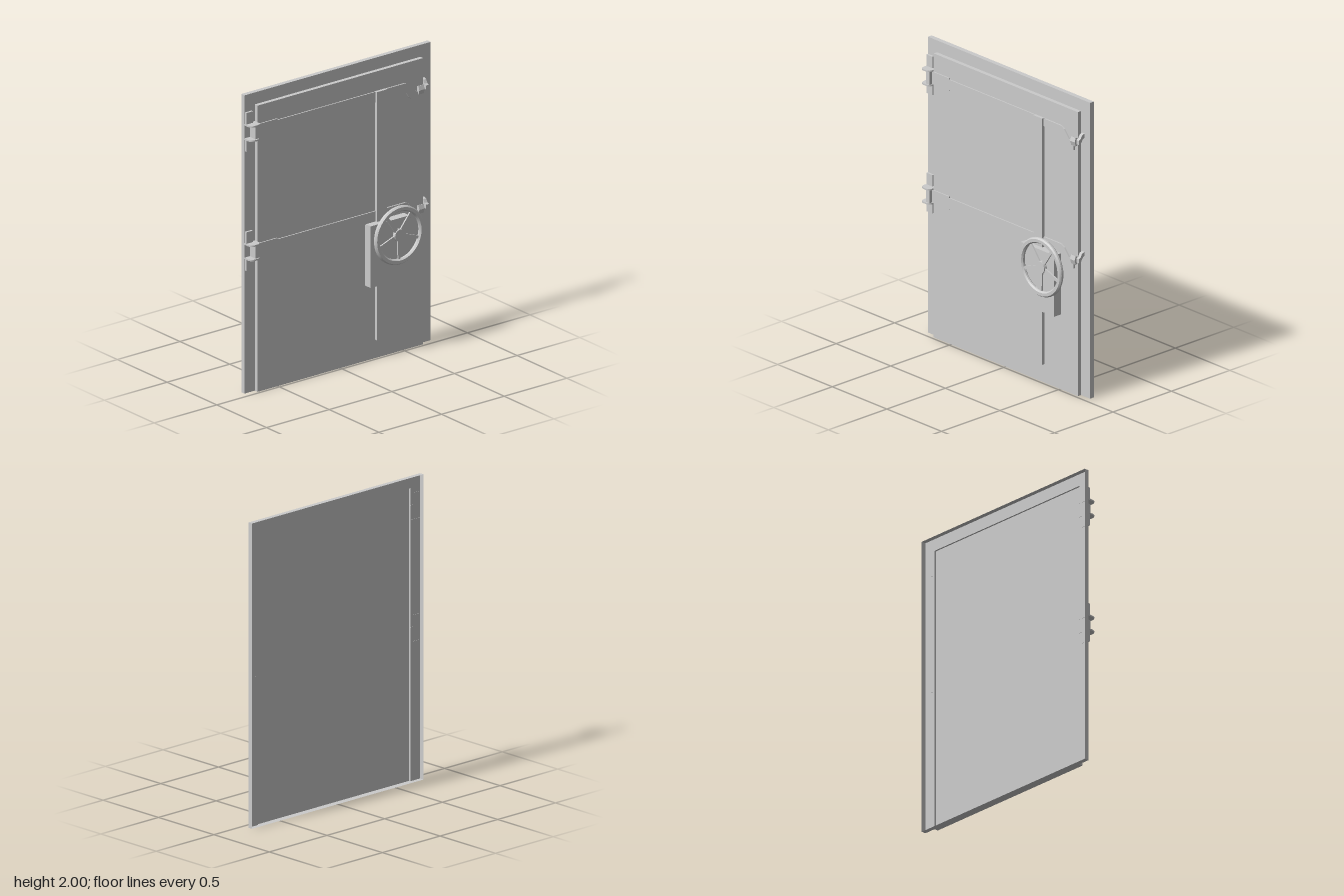
import * as THREE from 'three';
import { toCreasedNormals } from 'three/addons/utils/BufferGeometryUtils.js';

const material = new THREE.MeshStandardMaterial({ color: 0xcccccc, side: THREE.DoubleSide });
const BACK = -0.077, FRAME = -0.045, RECESS = -0.033, DOOR = -0.017; // main depths

function add(parent, name, geometry, x = 0, y = 0, z = 0) {
  const mesh = new THREE.Mesh(geometry, material);
  mesh.name = name;
  mesh.position.set(x, y, z);
  parent.add(mesh);
  return mesh;
}

// Box given by its limits
function block(parent, name, x0, x1, y0, y1, z0, z1) {
  return add(parent, name, new THREE.BoxGeometry(x1 - x0, y1 - y0, z1 - z0),
    (x0 + x1) / 2, (y0 + y1) / 2, (z0 + z1) / 2);
}

// Four side walls without front or back
function walls(parent, name, x, y1, z0, z1) {
  const { geometry } = block(parent, name, -x, x, 0, y1, z0, z1);
  geometry.setIndex(Array.from(geometry.index.array).slice(0, 24));
}

function outline(points) {
  return new THREE.Shape(points.map(([x, y]) => new THREE.Vector2(x, y)));
}

function slab(shape, depth) {
  return new THREE.ExtrudeGeometry(shape, { depth, bevelEnabled: false, curveSegments: 8 });
}

function createHinge() {
  const hinge = new THREE.Group();
  hinge.name = 'hinge';
  for (const y of [-0.13, 0.043]) {
    block(hinge, 'hingeMount', -0.741, -0.687, y, y + 0.087, -0.047, -0.03);
  }
  block(hinge, 'hingeKnuckle', -0.7, -0.667, -0.045, 0.045, -0.044, 0.012);
  // Plates with rounded front corners, drawn in x and -z
  const plate = new THREE.Shape();
  plate.moveTo(-0.743, 0.047);
  plate.lineTo(-0.743, 0.015);
  plate.quadraticCurveTo(-0.743, -0.022, -0.708, -0.022);
  plate.lineTo(-0.695, -0.022);
  plate.quadraticCurveTo(-0.66, -0.022, -0.66, 0.015);
  plate.lineTo(-0.66, 0.047);
  for (const y of [-0.053, 0.043]) {
    add(hinge, 'hingePlate', slab(plate, 0.01).rotateX(-Math.PI / 2), 0, y, 0);
  }
  return hinge;
}

// Hinge, strap, cranked arm and latch, centred on the arm's height
function createLockingArm() {
  const arm = new THREE.Group();
  arm.name = 'lockingArm';
  arm.add(createHinge());
  block(arm, 'hingeStrap', -0.667, -0.51, -0.043, 0.043, DOOR, -0.009);
  block(arm, 'crossBar', -0.51, 0.3, -0.038, 0.034, DOOR, -0.009);

  const crank = outline([[0.3, 0.026], [0.37, 0.034], [0.515, 0.034], [0.545, 0.018], [0.59, -0.035],
    [0.61, -0.045], [0.633, -0.045], [0.633, -0.097], [0.6, -0.094], [0.555, -0.08],
    [0.54, -0.065], [0.52, -0.033], [0.495, -0.021], [0.3, -0.015]]);
  add(arm, 'crankedEnd', slab(crank, 0.01), 0, 0, DOOR);

  // Latch parts are profiles in -z and y, run along x
  const dog = outline([[0.017, -0.012], [0.004, -0.007], [-0.005, -0.036], [0.004, -0.066], [0.017, -0.061]]);
  add(arm, 'latchDog', slab(dog, 0.042).rotateY(Math.PI / 2), 0.613, 0, 0);
  const keeper = outline([[0.047, 0.022], [0.025, 0.015], [0.012, -0.008], [-0.003, -0.015],
    [-0.003, -0.043], [0.015, -0.038], [0.032, -0.012], [0.047, -0.005]]);
  add(arm, 'latchKeeper', slab(keeper, 0.023).rotateY(Math.PI / 2), 0.668, 0, 0);
  return arm;
}

function createHandWheel() {
  const wheel = new THREE.Group();
  wheel.name = 'handWheel';
  // Rim with chamfered edges
  const profile = [[0.195, -0.006], [0.195, 0.006], [0.187, 0.016], [0.167, 0.016], [0.159, 0.006],
    [0.159, -0.006], [0.167, -0.016], [0.187, -0.016], [0.195, -0.006]];
  const rim = new THREE.LatheGeometry(profile.map(([r, z]) => new THREE.Vector2(r, z)), 40);
  add(wheel, 'wheelRim', toCreasedNormals(rim.rotateX(Math.PI / 2), 0.5));
  add(wheel, 'wheelHub', new THREE.CylinderGeometry(0.04, 0.04, 0.024, 24).rotateX(Math.PI / 2));
  add(wheel, 'wheelShaft', new THREE.CylinderGeometry(0.02, 0.02, 0.02, 16).rotateX(Math.PI / 2), 0, 0, -0.014);
  const spoke = outline([[0.035, -0.014], [0.162, -0.009], [0.162, 0.009], [0.035, 0.014]]);
  for (let i = 0; i < 5; i++) {
    add(wheel, 'wheelSpoke', slab(spoke, 0.01), 0, 0, -0.005)
      .rotation.z = -Math.PI / 2 + i * Math.PI * 2 / 5;
  }
  return wheel;
}

export function createModel() {
  const model = new THREE.Group();
  model.name = 'bulkheadDoor';

  // Frame: outer walls and a front sheet around the doorway
  walls(model, 'frameWalls', 0.743, 2, BACK, FRAME);
  const face = outline([[-0.743, 0], [-0.66, 0], [-0.66, 1.92], [0.66, 1.92],
    [0.66, 0], [0.743, 0], [0.743, 2], [-0.743, 2]]);
  add(model, 'frameFace', new THREE.ShapeGeometry(face), 0, 0, FRAME);

  // Door leaf, slightly recessed behind
  walls(model, 'doorEdge', 0.66, 1.92, FRAME, RECESS);
  block(model, 'doorPanel', -0.66, 0.66, 0, 1.92, RECESS, DOOR);

  // Locking mechanism
  block(model, 'verticalBar', 0.275, 0.355, 0.125, 1.79, DOOR, 0.004);
  block(model, 'gearBox', 0.197, 0.505, 0.506, 0.92, DOOR, 0.04);
  for (const y of [1.755, 0.955]) {
    const arm = createLockingArm();
    arm.position.y = y;
    model.add(arm);
  }
  const wheel = createHandWheel();
  wheel.position.set(0.407, 0.818, 0.06);
  model.add(wheel);

  return model;
}
